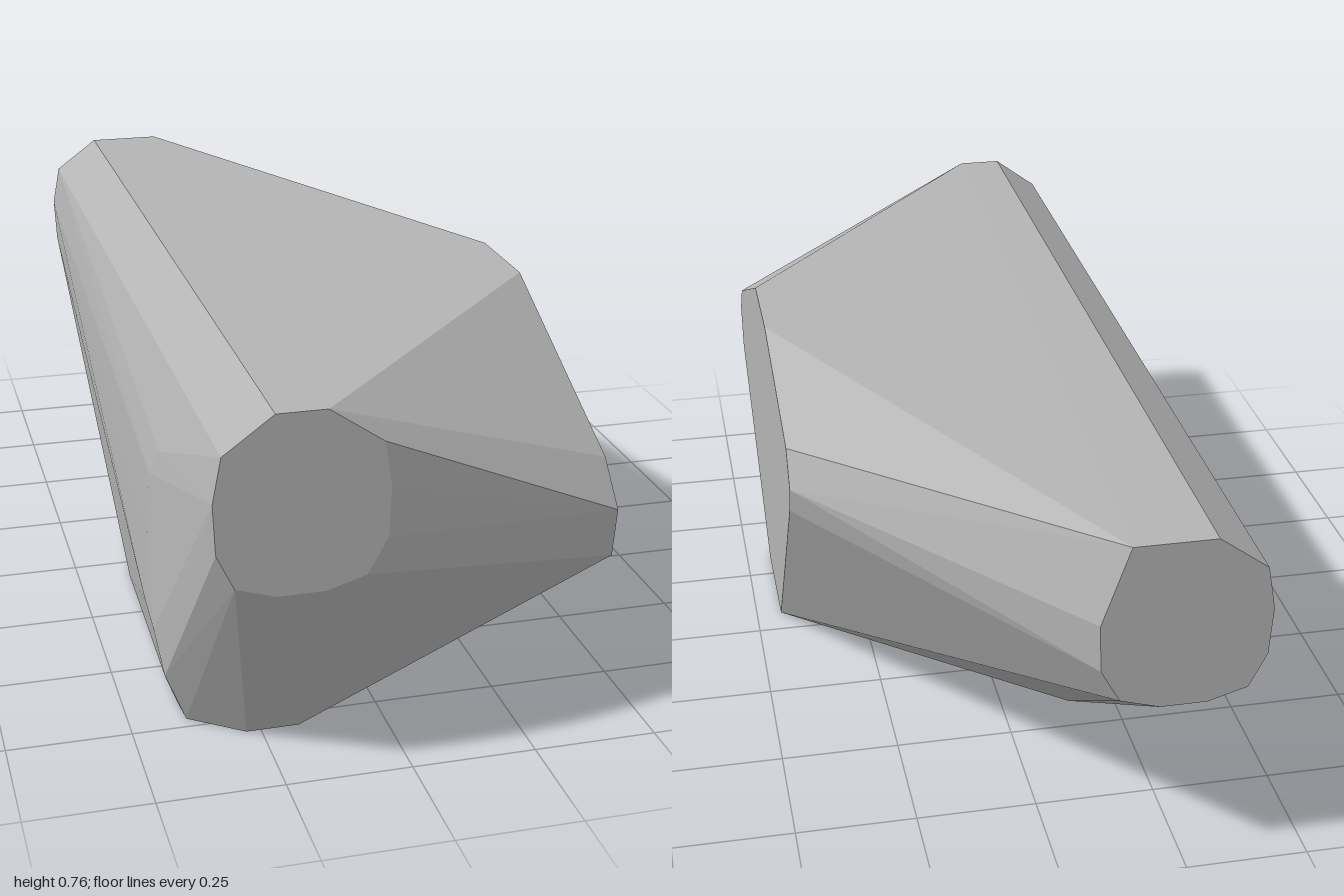
import * as THREE from 'three';
import { ConvexGeometry } from 'three/addons/geometries/ConvexGeometry.js';

const at = (axis, value, pairs) => pairs.map(([a, b]) =>
  axis === 'x' ? new THREE.Vector3(value, b, a)
    : axis === 'y' ? new THREE.Vector3(a, value, b)
      : new THREE.Vector3(a, b, value));

export function createModel() {
  const group = new THREE.Group();
  const stone = new THREE.MeshStandardMaterial({ color: 0xb4b4b4 });

  // rounded end outline (x, y), shared by both ends
  const endOutline = [
    [-0.054, 0.595], [-0.058, 0.495], [-0.097, 0.424], [-0.175, 0.4], [-0.268, 0.4],
    [-0.346, 0.424], [-0.38, 0.495], [-0.385, 0.595], [-0.368, 0.685], [-0.27, 0.757],
  ];
  const frontEnd = at('z', 1, [...endOutline, [-0.173, 0.757], [-0.068, 0.685]]);
  const backEnd = at('z', -1, [...endOutline, [-0.108, 0.757]]);

  // broad flat side (z, y)
  const flatSide = at('x', 0.443, [
    [0.81, 0.52], [0.885, 0.44], [0.87, 0.335], [0.33, 0], [0.07, 0],
    [-0.33, 0.51], [-0.357, 0.575], [-0.314, 0.65], [0.09, 0.742], [0.31, 0.742],
  ]);

  // resting face (x, z)
  const base = at('y', 0, [
    [-0.15, -0.41], [-0.27, -0.41], [-0.32, -0.33], [-0.385, 0.07],
    [-0.39, 0.65], [-0.385, 0.72], [-0.28, 0.797], [-0.173, 0.797],
  ]);

  // shallow bulge on the other side
  const bulge = [
    [-0.43, 0.115, 0.74], [-0.443, 0.2, 0.7], [-0.443, 0.22, 0.61],
    [-0.438, 0.38, 0.63], [-0.43, 0.5, 0.62], [-0.416, 0.56, 0.66],
  ].map((p) => new THREE.Vector3(...p));

  const body = new THREE.Mesh(
    new ConvexGeometry([...frontEnd, ...backEnd, ...flatSide, ...base, ...bulge]), stone);
  body.name = 'facetedStone';
  stone.name = 'stoneGrey';
  group.add(body);
  return group;
}
